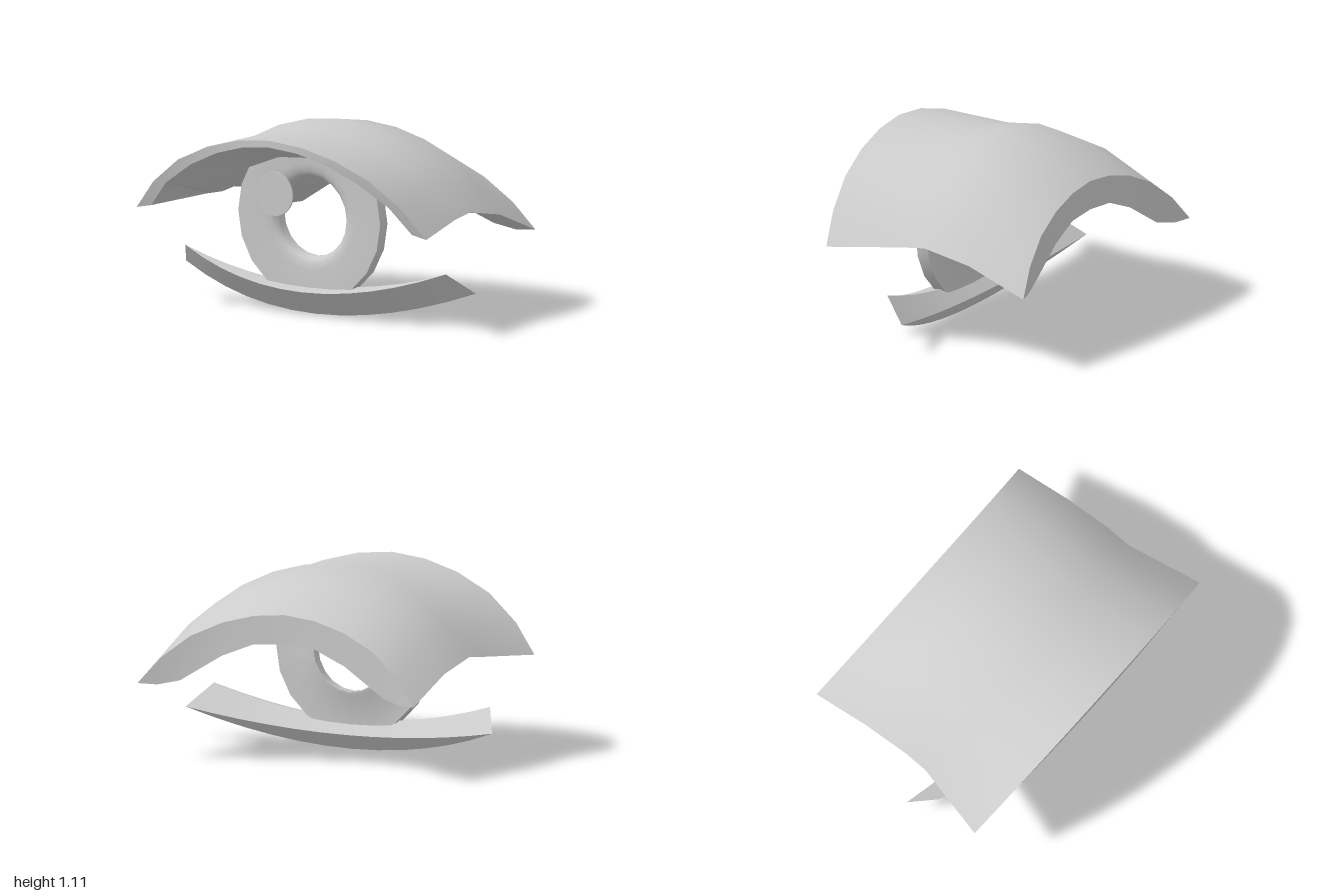
import * as THREE from 'three';
import { toCreasedNormals } from 'three/addons/utils/BufferGeometryUtils.js';

const grey = () => new THREE.MeshStandardMaterial({ color: 0xcccccc });

function addMesh(parent, name, geometry) {
  const mesh = new THREE.Mesh(geometry, grey());
  mesh.name = name;
  parent.add(mesh);
  return mesh;
}

// Closed thick sheet between two grids of points; outer(i, j) and inner(i, j) return [x, y, z]
function thickSheet(rows, cols, outer, inner) {
  const pos = [];
  const quad = (a, b, c, d) => pos.push(...a, ...b, ...c, ...a, ...c, ...d);
  for (let i = 0; i < rows - 1; i++) {
    for (let j = 0; j < cols - 1; j++) {
      quad(outer(i, j), outer(i, j + 1), outer(i + 1, j + 1), outer(i + 1, j));
      quad(inner(i, j), inner(i + 1, j), inner(i + 1, j + 1), inner(i, j + 1));
    }
    const e = cols - 1;
    quad(outer(i, 0), outer(i + 1, 0), inner(i + 1, 0), inner(i, 0));
    quad(outer(i, e), inner(i, e), inner(i + 1, e), outer(i + 1, e));
  }
  for (let j = 0; j < cols - 1; j++) {
    const e = rows - 1;
    quad(inner(0, j), inner(0, j + 1), outer(0, j + 1), outer(0, j));
    quad(outer(e, j), outer(e, j + 1), inner(e, j + 1), inner(e, j));
  }
  const geometry = new THREE.BufferGeometry();
  geometry.setAttribute('position', new THREE.Float32BufferAttribute(pos, 3));
  return toCreasedNormals(geometry, 0.4);
}

// Arched upper lid: five arches from the flared front to the drooping back
function upperLid() {
  const arches = [
    { apex: [1.08, 0.70], edge: [0.58, 0.57], width: 1 },
    { apex: [1.08, 0.23], edge: [0.625, 0.12], width: 0.9 },
    { apex: [1.11, 0.01], edge: [0.645, -0.03], width: 0.9 },
    { apex: [1.055, -0.31], edge: [0.59, -0.33], width: 0.9 },
    { apex: [0.90, -0.59], edge: [0.45, -0.70], width: 0.9 },
  ];
  const across = [0, 0.22, 0.44, 0.66, 0.855, 1];
  const rise = [1, 0.957, 0.84, 0.64, 0.34, 0];
  const innerX = [0, 0.2, 0.4, 0.66, 0.79, 0.9];
  const innerRise = [0.28, 0.265, 0.185, 0.025, -0.005, 0];
  const lipX = [0, 0.19, 0.375, 0.57, 0.77, 0.9];
  const column = (j) => [Math.abs(j - 5), Math.sign(j - 5)];
  const outer = (i, j) => {
    const [k, side] = column(j);
    const { apex, edge, width } = arches[i];
    return [
      side * width * across[k],
      edge[0] + (apex[0] - edge[0]) * rise[k],
      edge[1] + (apex[1] - edge[1]) * rise[k],
    ];
  };
  const inner = (i, j) => {
    const [k, side] = column(j);
    const z = outer(i, j)[2];
    if (i === 0) return [side * lipX[k], 0.6 + 0.44 * rise[k], z];
    return [side * innerX[k], arches[i].edge[0] + innerRise[k], z];
  };
  return thickSheet(5, 11, outer, inner);
}

// Crescent lower lid: full section in the middle, thinning to the corners
function lowerLid() {
  const cols = 13;
  const bow = (mid, end) => (i, j) => {
    const t = (j / (cols - 1)) * 2 - 1;
    const m = mid[i], e = end[i];
    return [t * e[0], m[0] + (e[1] - m[0]) * t * t, m[1] + (e[2] - m[1]) * t * t];
  };
  const ends = [[1, 0.195, 0.06], [0.9, 0.32, 0.22]];
  const front = bow([[0.005, 0.22], [0.15, 0.365]], ends);
  const back = bow([[0.095, 0.15], [0.175, 0.24]], ends);
  return thickSheet(2, cols, front, back);
}

// Iris ring with a rounded inner rim and a short sleeve behind the hole
function irisRing() {
  const profile = [
    [0.235, -0.055], [0.235, 0], [0.245, 0.02], [0.27, 0.034], [0.31, 0.04],
    [0.49, 0.04], [0.49, -0.035], [0.29, -0.035], [0.25, -0.055], [0.235, -0.055],
  ].map(([r, h]) => new THREE.Vector2(r, h)).reverse();
  const geometry = new THREE.LatheGeometry(profile, 20);
  geometry.rotateX(Math.PI / 2);
  return toCreasedNormals(geometry, 0.7);
}

export function createModel() {
  const model = new THREE.Group();
  model.name = 'eye';
  addMesh(model, 'upperLid', upperLid());
  addMesh(model, 'lowerLid', lowerLid());

  const iris = addMesh(model, 'iris', irisRing());
  iris.position.set(0, 0.575, 0.245);
  iris.material.side = THREE.DoubleSide;

  // Small round glint on the front of the iris
  const glint = addMesh(model, 'glint', new THREE.CylinderGeometry(0.128, 0.128, 0.01, 32));
  glint.rotation.x = Math.PI / 2;
  glint.position.set(-0.235, 0.69, 0.292);
  return model;
}
